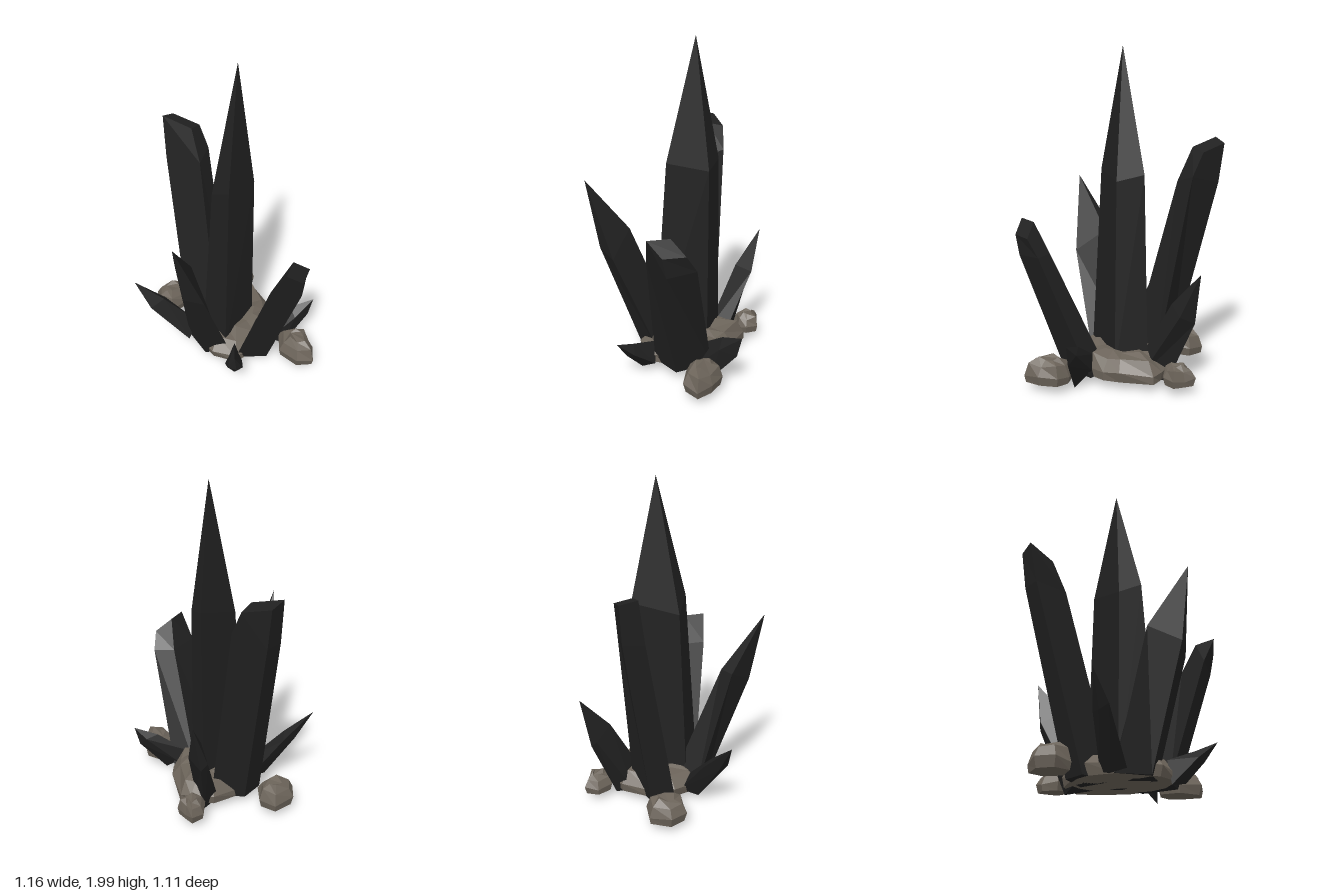
import * as THREE from 'three';

const obsidian = new THREE.MeshStandardMaterial({ color: 0x212121, flatShading: true });
obsidian.name = 'darkCrystal';
const stone = new THREE.MeshStandardMaterial({ color: 0x6c645a, flatShading: true });
stone.name = 'greyBrownStone';

// Faceted solid lofted through rings of equal point count, capped at both ends
function loft(name, rings, material) {
  const n = rings[0].length;
  const tris = [];
  const add = (a, b, c) => {
    const area = b.clone().sub(a).cross(c.clone().sub(a)).length();
    if (area > 1e-7) tris.push([a, b, c]);
  };
  const R = rings.map(r => r.map(p => new THREE.Vector3(...p)));
  for (let k = 0; k < R.length - 1; k++) {
    for (let i = 0; i < n; i++) {
      const j = (i + 1) % n;
      add(R[k][i], R[k][j], R[k + 1][j]);
      add(R[k][i], R[k + 1][j], R[k + 1][i]);
    }
  }
  const last = R[R.length - 1];
  for (let i = 1; i < n - 1; i++) {
    add(R[0][0], R[0][i + 1], R[0][i]);
    add(last[0], last[i], last[i + 1]);
  }
  // Signed volume decides the winding so every face points outward
  const o = R[0][0];
  const volume = tris.reduce((s, [a, b, c]) => s +
    a.clone().sub(o).dot(b.clone().sub(o).cross(c.clone().sub(o))), 0);
  const pos = [];
  for (const [a, b, c] of tris) {
    for (const p of volume > 0 ? [a, b, c] : [a, c, b]) pos.push(p.x, p.y, p.z);
  }
  const geo = new THREE.BufferGeometry();
  geo.setAttribute('position', new THREE.Float32BufferAttribute(pos, 3));
  geo.computeVertexNormals();
  const mesh = new THREE.Mesh(geo, material);
  mesh.name = name;
  return mesh;
}

// Crystal from a base ring, a shoulder ring and a point or blunt cap
function crystal(name, base, shoulder, top) {
  const end = Array.isArray(top[0]) ? top : base.map(() => top);
  return loft(name, [base, shoulder, end], obsidian);
}

// Flat-bottomed rock: an [x, z] outline shrunk towards its centre at rising levels
function rock(name, outline, levels) {
  const n = outline.length;
  const cx = outline.reduce((s, p) => s + p[0], 0) / n;
  const cz = outline.reduce((s, p) => s + p[1], 0) / n;
  const rings = levels.map(([y, scale], k) => outline.map(([x, z], i) => {
    const wobble = k === 0 ? 0 : Math.sin(i * 2.4 + k * 1.7);
    const s = scale * (1 + 0.04 * wobble);
    return [cx + (x - cx) * s, y + 0.01 * wobble, cz + (z - cz) * s];
  }));
  return loft(name, rings, stone);
}

export function createModel() {
  const model = new THREE.Group();
  model.name = 'crystalCluster';

  // Tall centre spire
  model.add(crystal('centreCrystal',
    [[0, 0.06, 0.24], [0.18, 0.06, -0.04], [0.08, 0.06, -0.215], [-0.148, 0.06, 0.06]],
    [[0.02, 1.28, 0.15], [0.17, 1.23, -0.05], [0.09, 1.27, -0.19], [-0.08, 1.2, 0.04]],
    [0.065, 2, -0.03]));

  // Blunt crystals
  model.add(crystal('rearRightBluntCrystal',
    [[-0.26, 0.06, -0.1], [-0.18, 0.06, -0.23], [0.03, 0.06, -0.23], [-0.05, 0.06, 0]],
    [[-0.375, 1.2, -0.37], [-0.31, 1.2, -0.475], [-0.11, 1.25, -0.4], [-0.16, 1.21, -0.275]],
    [[-0.388, 1.465, -0.417], [-0.33, 1.435, -0.5], [-0.165, 1.39, -0.44], [-0.21, 1.415, -0.348]]));
  model.add(crystal('frontLeftBluntCrystal',
    [[0.07, 0.06, 0.28], [0.17, 0.06, 0.02], [0.32, 0.06, 0.04], [0.27, 0.06, 0.27]],
    [[0.26, 0.82, 0.465], [0.355, 0.8, 0.3], [0.485, 0.8, 0.285], [0.44, 0.79, 0.46]],
    [[0.34, 0.99, 0.517], [0.385, 0.985, 0.39], [0.487, 0.905, 0.36], [0.44, 0.91, 0.486]]));

  // Medium pointed crystals
  model.add(crystal('frontRightCrystal',
    [[-0.24, 0.06, 0.07], [-0.08, 0.06, -0.02], [0.03, 0.06, 0.22], [-0.13, 0.06, 0.24]],
    [[-0.295, 0.84, 0.28], [-0.2, 0.84, 0.27], [-0.12, 0.7, 0.445], [-0.24, 0.75, 0.46]],
    [-0.282, 1.175, 0.522]));
  model.add(crystal('backCrystal',
    [[0.06, 0.03, -0.34], [-0.015, 0.06, -0.26], [0.06, 0.1, -0.13], [0.14, 0.06, -0.2]],
    [[0.05, 0.42, -0.508], [0.012, 0.46, -0.49], [0.07, 0.52, -0.365], [0.132, 0.47, -0.45]],
    [0.085, 0.73, -0.557]));

  // Small splayed crystals
  model.add(crystal('smallRightCrystal',
    [[-0.19, 0.17, 0.06], [-0.2, 0.08, -0.025], [-0.28, 0.05, 0.06], [-0.24, 0.08, 0.14]],
    [[-0.4, 0.38, 0.07], [-0.4, 0.34, 0.01], [-0.47, 0.33, 0.07], [-0.48, 0.355, 0.13]],
    [-0.58, 0.53, 0.075]));
  model.add(crystal('smallLeftCrystal',
    [[0.25, 0.18, 0.07], [0.3, 0.1, 0.045], [0.39, 0.01, 0.11], [0.3, 0.08, 0.13]],
    [[0.43, 0.295, 0.05], [0.5, 0.27, 0.018], [0.55, 0.22, 0.04], [0.46, 0.24, 0.1]],
    [0.58, 0.345, 0.03]));
  model.add(crystal('smallFrontCrystal',
    [[0.06, 0.18, 0.27], [0, 0.03, 0.31], [0.06, 0.04, 0.37], [0.11, 0.06, 0.31]],
    [[0.06, 0.215, 0.43], [0.015, 0.17, 0.46], [0.06, 0.15, 0.48], [0.112, 0.17, 0.46]],
    [0.07, 0.255, 0.555]));

  // Base slab and loose stones
  model.add(rock('baseRock',
    [[-0.23, -0.09], [-0.15, -0.22], [0, -0.33], [0.14, -0.34], [0.215, -0.335], [0.29, -0.14],
      [0.315, -0.04], [0.29, 0.09], [0.22, 0.22], [0.07, 0.33], [-0.08, 0.28], [-0.24, 0.08]],
    [[0.06, 0.97], [0.115, 1], [0.185, 0.8], [0.205, 0.5]]));
  const pebbleLevels = [[0.06, 0.9], [0.11, 1], [0.175, 0.78], [0.205, 0.4]];
  const pebbles = {
    rightStone: [[-0.48, -0.27], [-0.38, -0.365], [-0.28, -0.32], [-0.26, -0.2], [-0.37, -0.11], [-0.47, -0.16]],
    leftStone: [[0.36, 0.13], [0.45, 0.1], [0.53, 0.13], [0.57, 0.24], [0.57, 0.35], [0.46, 0.36], [0.35, 0.26]],
    backStone: [[0.1, -0.54], [0.15, -0.5], [0.205, -0.45], [0.18, -0.375], [0.13, -0.34], [0.05, -0.38], [0.04, -0.48]],
  };
  for (const [name, outline] of Object.entries(pebbles)) {
    const h = name === 'backStone' ? 0.82 : 1;
    model.add(rock(name, outline, pebbleLevels.map(([y, s]) => [0.06 + (y - 0.06) * h, s])));
  }
  return model;
}
